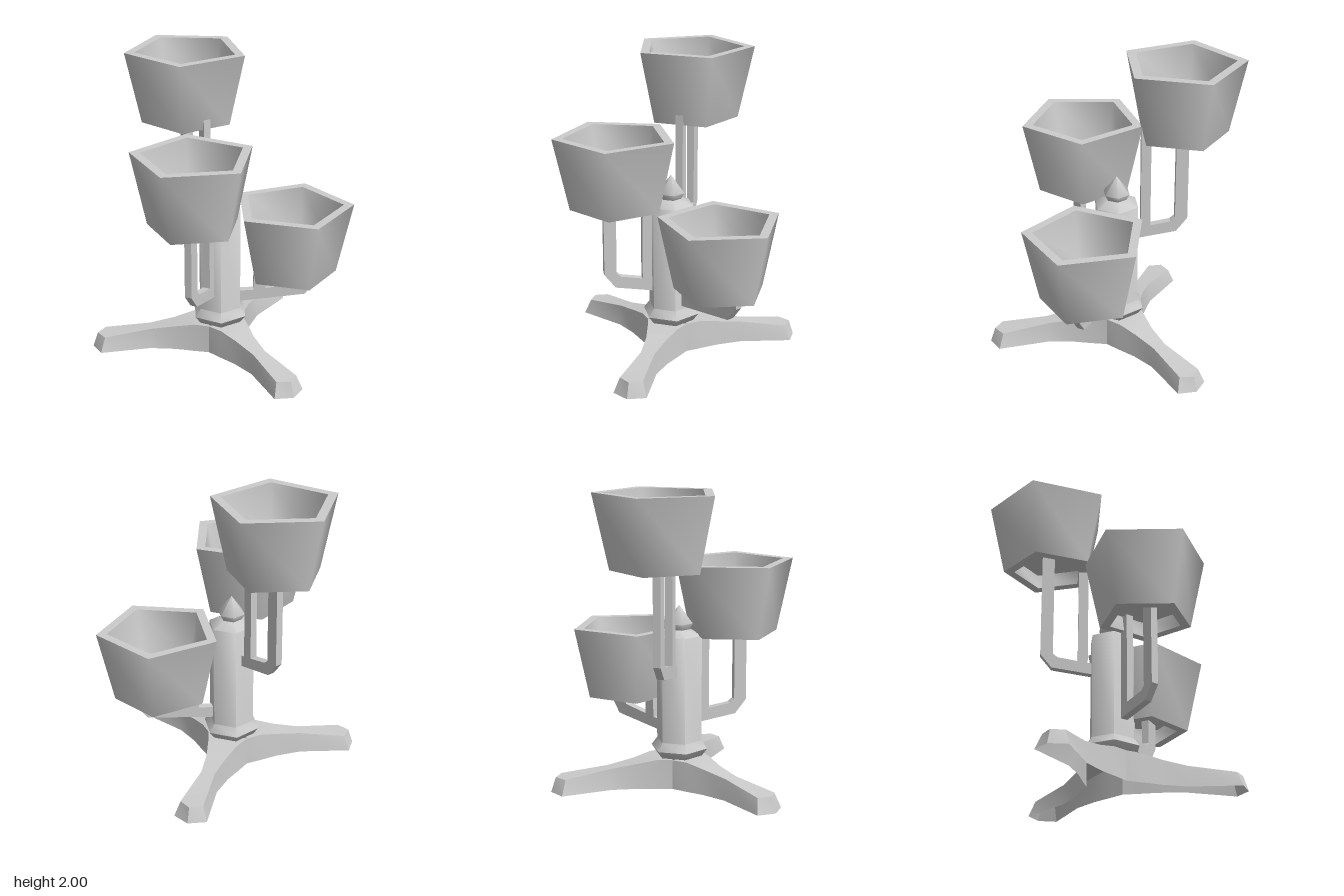
import * as THREE from 'three';
import { toCreasedNormals } from 'three/addons/utils/BufferGeometryUtils.js';

const AXIS_Z = -0.02; // the pole stands slightly behind the origin
const material = new THREE.MeshStandardMaterial({ color: 0xcccccc });
const shellMaterial = new THREE.MeshStandardMaterial({ color: 0xcccccc, side: THREE.DoubleSide });

function mesh(name, geometry, mat = material) {
  const m = new THREE.Mesh(geometry, mat);
  m.name = name;
  return m;
}

function lathe(profile, sides, start, crease) {
  const points = profile.map(([r, y]) => new THREE.Vector2(r, y));
  return toCreasedNormals(new THREE.LatheGeometry(points, sides, start), crease);
}

// Five-sided planter: tapered wall, flat rim, raised floor and a hollow foot
function potGeometry() {
  return lathe([
    [0, 0.11], [0.262, 0.11], [0.24, 0], [0.31, 0],
    [0.417, 0.485], [0.347, 0.485], [0.277, 0.165], [0, 0.165],
  ], 5, 0, 1.35);
}

// Hexagonal pole with a base collar, sloped cap and pointed finial
function poleGeometry() {
  return lathe([
    [0, 0.195], [0.155, 0.195], [0.195, 0.25], [0.155, 0.305], [0.155, 1.02],
    [0.07, 1.06], [0.093, 1.1], [0, 1.22],
  ], 6, Math.PI / 2, 1.1);
}

// Forked bracket in the radial plane: x is the distance from the pole axis
function armGeometry({ post, postWidth, reach, reachWidth, root, top }) {
  const inner = reach - reachWidth;
  const outline = [
    [0.115, root], [reach - 0.075, root + 0.045], [reach, root + 0.14], [reach, top],
    [inner, top], [inner, root + 0.145], [inner - 0.03, root + 0.12],
    [post + postWidth, root + 0.095], [post + postWidth, top], [post, top],
    [post, root + 0.083], [0.115, root + 0.08],
  ];
  const shape = new THREE.Shape(outline.map(([x, y]) => new THREE.Vector2(x, y)));
  const geometry = new THREE.ExtrudeGeometry(shape, { depth: 0.05, bevelEnabled: false });
  return geometry.translate(0, 0, -0.025);
}

// Leg shell, open underneath, lofted along +z from four-point sections
function legGeometry() {
  // bottom z, top z, bottom half width, top half width, top height
  const sections = [
    [0.08, 0.08, 0.139, 0.139, 0.2],
    [0.18, 0.18, 0.115, 0.105, 0.198],
    [0.31, 0.31, 0.08, 0.07, 0.17],
    [0.48, 0.48, 0.06, 0.047, 0.142],
    [0.82, 0.79, 0.112, 0.078, 0.1],
    [0.875, 0.842, 0, 0, 0.1],
  ];
  const positions = [];
  for (const [zb, zt, b, t, y] of sections) {
    positions.push(-b, 0, zb, -t, y, zt, t, y, zt, b, 0, zb);
  }
  const index = [];
  for (let s = 0; s < sections.length - 1; s++) {
    for (let k = 0; k < 3; k++) {
      const a = s * 4 + k, b = a + 1, d = a + 4, c = a + 5;
      index.push(a, d, b, b, d, c);
    }
  }
  const geometry = new THREE.BufferGeometry();
  geometry.setAttribute('position', new THREE.Float32BufferAttribute(positions, 3));
  geometry.setIndex(index);
  return toCreasedNormals(geometry, 0.7);
}

export function createModel() {
  const model = new THREE.Group();
  model.name = 'tieredPlanterStand';

  const pole = mesh('pole', poleGeometry());
  pole.position.z = AXIS_Z;
  model.add(pole);

  // Three legs around the pole
  const leg = legGeometry();
  for (let i = 0; i < 3; i++) {
    const m = mesh('leg', leg, shellMaterial);
    m.position.z = AXIS_Z;
    m.rotation.y = (i * Math.PI * 2) / 3;
    model.add(m);
  }

  // Pots at three heights, each on its own bracket; corner = direction to one rim corner
  const pot = potGeometry();
  const tiers = [
    { name: 'high', x: 0.011, z: -0.443, y: 1.515, corner: [0.01, -0.417],
      arm: { post: 0.16, postWidth: 0.065, reach: 0.473, reachWidth: 0.083, root: 0.76 } },
    { name: 'middle', x: -0.315, z: 0.168, y: 1.02, corner: [0.415, 0.047],
      arm: { post: 0.135, postWidth: 0.065, reach: 0.46, reachWidth: 0.083, root: 0.415 } },
    { name: 'low', x: 0.417, z: 0.222, y: 0.535, corner: [-0.087, -0.406 + 0.812],
      arm: { post: 0.23, postWidth: 0.08, reach: 0.655, reachWidth: 0.12, root: 0.33 } },
  ];
  for (const { name, x, y, z, corner, arm } of tiers) {
    const p = mesh(name + 'Pot', pot);
    p.position.set(x, y, z);
    p.rotation.y = Math.atan2(corner[0], corner[1]);
    model.add(p);

    const a = mesh(name + 'Arm', armGeometry({ ...arm, top: y + 0.12 }));
    a.position.z = AXIS_Z;
    a.rotation.y = Math.atan2(-(z - AXIS_Z), x);
    model.add(a);
  }
  return model;
}
